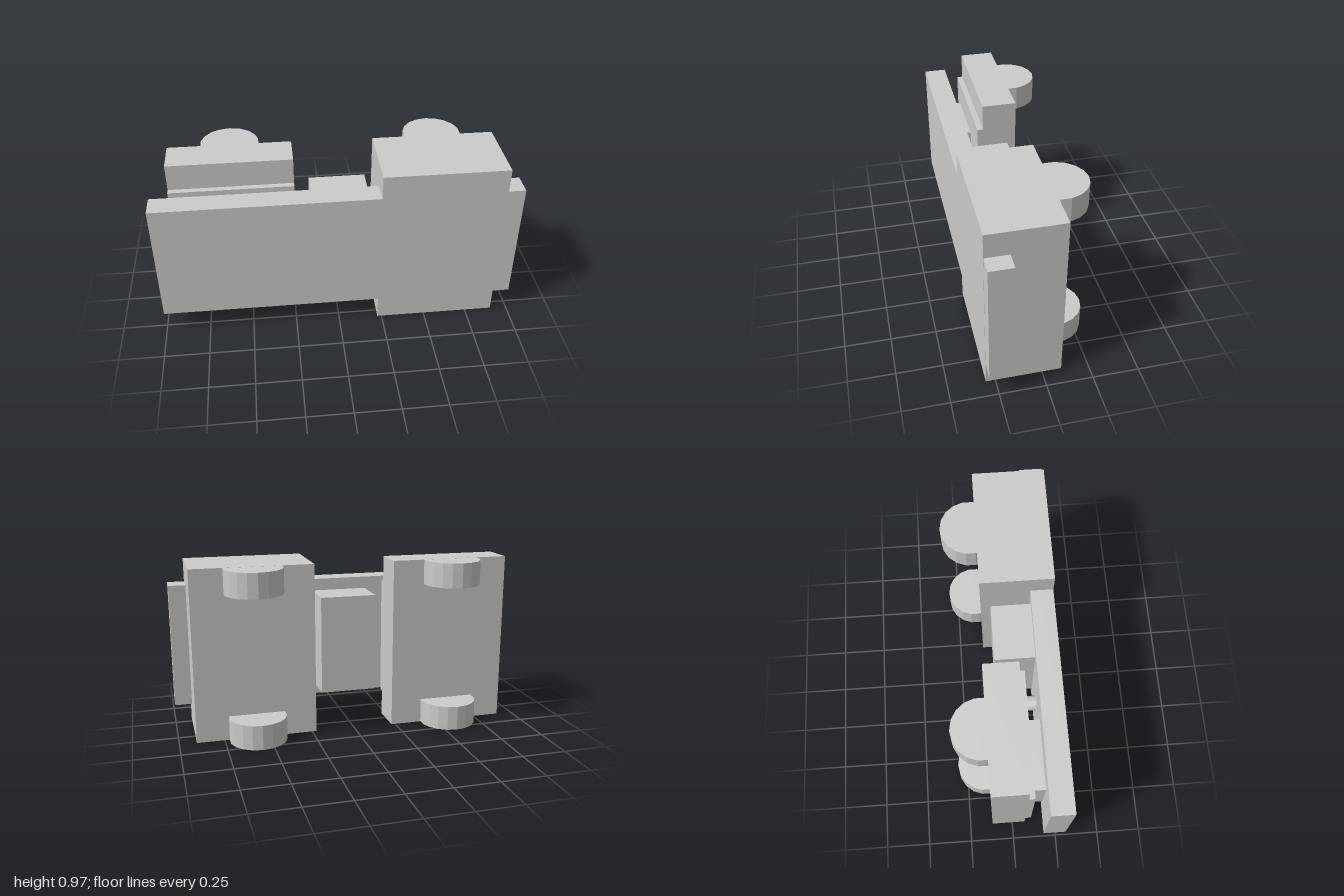
import * as THREE from 'three';

const material = new THREE.MeshStandardMaterial({ color: 0xcccccc, flatShading: true });

// Box given by its extents on each axis
function box(name, [x0, x1], [y0, y1], [z0, z1]) {
  const mesh = new THREE.Mesh(new THREE.BoxGeometry(x1 - x0, y1 - y0, z1 - z0), material);
  mesh.position.set((x0 + x1) / 2, (y0 + y1) / 2, (z0 + z1) / 2);
  mesh.name = name;
  return mesh;
}

// Pair of rounded lugs at the top and bottom of a block's back
function lugs(name, x) {
  const group = new THREE.Group();
  group.name = name;
  for (const y of [0.07, 0.902]) {
    const lug = new THREE.Mesh(new THREE.CylinderGeometry(0.161, 0.161, 0.139, 18), material);
    lug.position.set(x, y, -0.14);
    lug.name = 'lug';
    group.add(lug);
  }
  return group;
}

export function createModel() {
  const model = new THREE.Group();
  model.name = 'slidingClamp';

  // Long front plate
  model.add(box('frontPlate', [-1, 1], [0.135, 0.838], [0.173, 0.3]));

  // Deep block fixed to the plate
  model.add(box('fixedBlock', [0.225, 0.905], [0, 0.972], [-0.105, 0.301]));
  model.add(lugs('fixedBlockLugs', 0.565));

  // Stop block in the middle
  model.add(box('middleBlock', [-0.14, 0.177], [0.21, 0.77], [-0.05, 0.18]));

  // Moving block with a thin pad on its front
  model.add(box('movingBlock', [-0.907, -0.227], [0, 0.972], [-0.118, 0.074]));
  model.add(box('movingPad', [-0.907, -0.227], [0.15, 0.823], [0.07, 0.106]));
  model.add(lugs('movingBlockLugs', -0.566));

  // Spacer and pin joining the pad to the plate
  model.add(box('spacer', [-0.84, -0.46], [0.3, 0.67], [0.1, 0.18]));
  const pin = new THREE.Mesh(new THREE.CylinderGeometry(0.042, 0.042, 0.08, 18), material);
  pin.rotation.x = Math.PI / 2;
  pin.position.set(-0.313, 0.486, 0.14);
  pin.name = 'pin';
  model.add(pin);

  return model;
}
